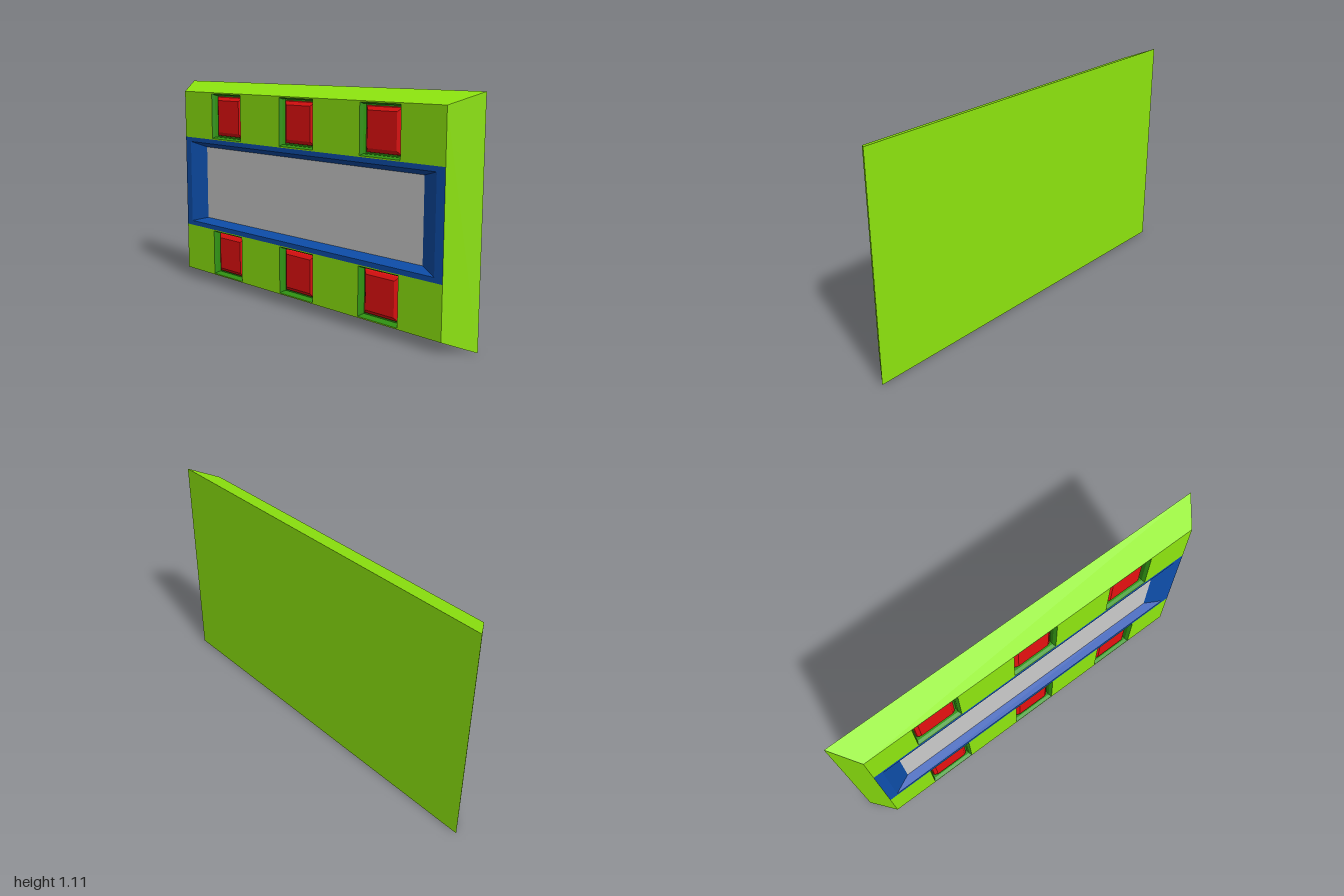
import * as THREE from 'three';

const FRONT = 0.066, BACK = -0.066, MID_Y = 0.5535;
const paint = (color) => new THREE.MeshStandardMaterial({ color, flatShading: true });

// Joins nested rectangles given as [half width, half height, z]
function rectLoft(rings) {
  const pos = [];
  const corners = ([w, h, z]) => [[-w, -h, z], [w, -h, z], [w, h, z], [-w, h, z]];
  for (let i = 0; i + 1 < rings.length; i++) {
    const a = corners(rings[i]), b = corners(rings[i + 1]);
    for (let j = 0; j < 4; j++) {
      const k = (j + 1) % 4;
      pos.push(...a[j], ...a[k], ...b[k], ...a[j], ...b[k], ...b[j]);
    }
  }
  const geo = new THREE.BufferGeometry();
  geo.setAttribute('position', new THREE.Float32BufferAttribute(pos, 3));
  geo.computeVertexNormals();
  return geo;
}

function tracePath(path, x0, y0, x1, y1) {
  path.moveTo(x0, y0);
  path.lineTo(x1, y0);
  path.lineTo(x1, y1);
  path.lineTo(x0, y1);
  path.closePath();
  return path;
}

export function createModel() {
  const group = new THREE.Group();
  group.position.y = MID_Y;
  const model = new THREE.Group();
  model.add(group);

  const green = paint(0x8fe80f), darkGreen = paint(0x309412);
  const blue = paint(0x0e50ae), red = paint(0xe81111), grey = paint(0xcccccc);

  const add = (name, geo, mat, x = 0, y = 0, z = 0) => {
    const mesh = new THREE.Mesh(geo, mat);
    mesh.name = name;
    mesh.position.set(x, y, z);
    group.add(mesh);
  };

  // Back and sloping sides of the slab
  add('body', rectLoft([[0, 0, BACK], [1, MID_Y, BACK], [0.905, 0.5, FRONT]]), green);

  // Sunken screen with its bevelled frame
  add('screenFrame', rectLoft([
    [0.905, 0.248, FRONT], [0.86, 0.224, FRONT], [0.765, 0.198, 0.026],
  ]), blue);
  add('screen', new THREE.PlaneGeometry(1.53, 0.396), grey, 0, 0, 0.026);

  const socket = rectLoft([
    [0.12, 0.12, FRONT], [0.112, 0.112, 0.05], [0.112, 0.112, 0.03], [0, 0, 0.03],
  ]);
  const button = rectLoft([
    [0.105, 0.105, 0.03], [0.102, 0.102, 0.038], [0.085, 0.085, 0.05], [0, 0, 0.05],
  ]);

  // Front strips above and below the screen, three buttons in each
  for (const side of [1, -1]) {
    const y = side * 0.374;
    const lo = side > 0 ? 0.248 : -0.5, hi = side > 0 ? 0.5 : -0.248;
    const strip = tracePath(new THREE.Shape(), -0.905, lo, 0.905, hi);
    for (const x of [-0.542, 0, 0.542]) {
      strip.holes.push(tracePath(new THREE.Path(), x - 0.12, y - 0.12, x + 0.12, y + 0.12));
      add('buttonSocket', socket, darkGreen, x, y);
      add('button', button, red, x, y);
    }
    add(side > 0 ? 'upperStrip' : 'lowerStrip', new THREE.ShapeGeometry(strip), green, 0, 0, FRONT);
  }
  return model;
}
